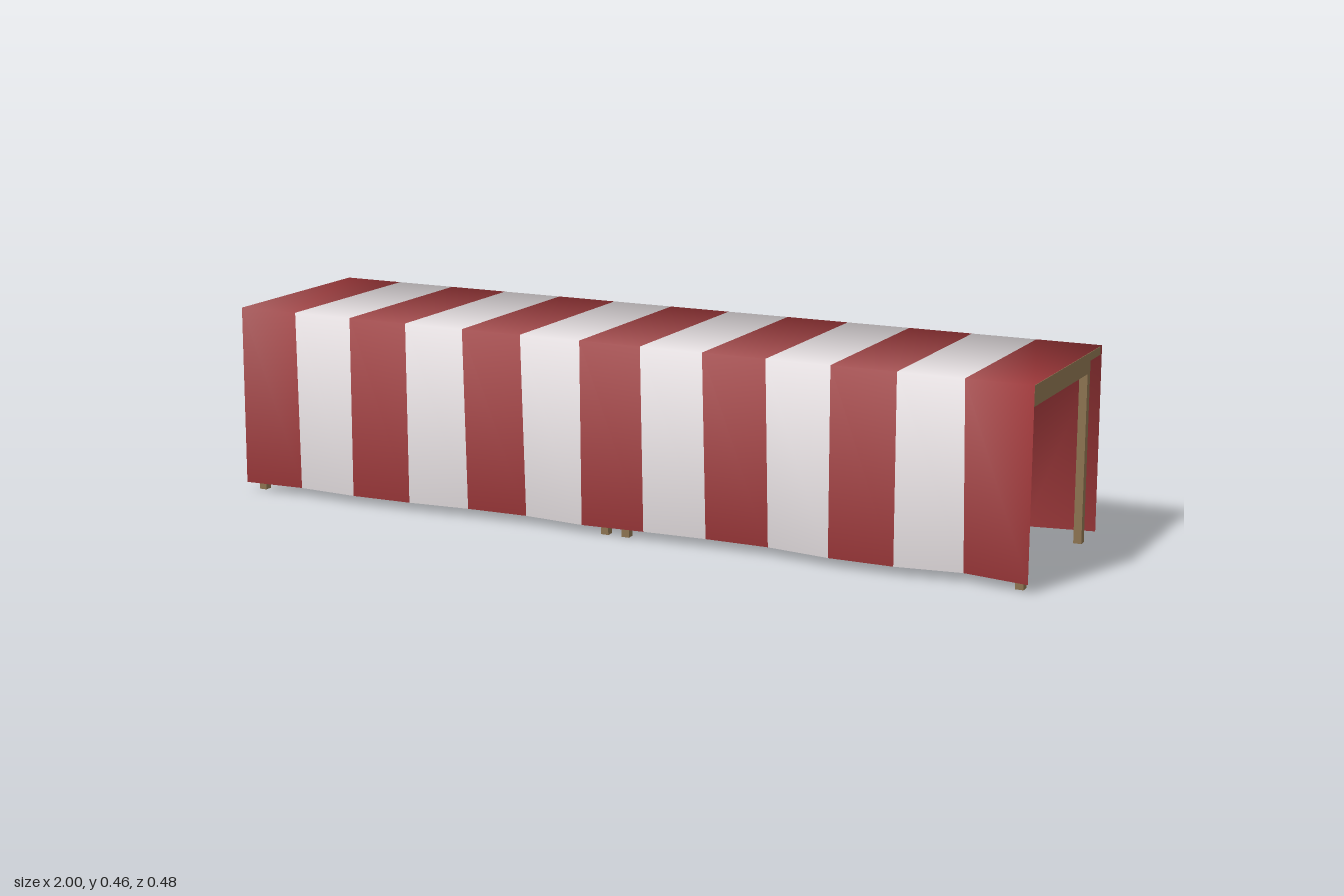
import * as THREE from 'three';

const mat = (name, color, side = THREE.FrontSide) => {
  const m = new THREE.MeshStandardMaterial({ color, side });
  m.name = name;
  return m;
};

export function createModel() {
  const model = new THREE.Group();
  model.name = 'tablesWithCloth';
  const wood = mat('wood', 0x8c7350);
  const red = mat('clothRed', 0x963436, THREE.DoubleSide);
  const white = mat('clothWhite', 0xdcd6d8, THREE.DoubleSide);

  const box = (parent, name, w, h, d, x, y, z) => {
    const mesh = new THREE.Mesh(new THREE.BoxGeometry(w, h, d), wood);
    mesh.name = name;
    mesh.position.set(x, y, z);
    parent.add(mesh);
  };

  // two wooden tables, end to end
  const T = 0.019, legX = 0.473, legZ = 0.204;
  for (const cx of [-0.4995, 0.4995]) {
    const table = new THREE.Group();
    table.name = cx < 0 ? 'rightTable' : 'leftTable';
    table.position.x = cx;
    box(table, 'tableTop', 0.998, 0.019, 0.464, 0, 0.4435, 0);
    for (const s of [-1, 1]) {
      for (const t of [-1, 1]) box(table, 'leg', T, 0.434, T, s * legX, 0.217, t * legZ);
      box(table, 'endApron', T, 0.039, 2 * legZ - T, s * legX, 0.4145, 0);
      box(table, 'sideApron', 2 * legX - T, 0.039, T, 0, 0.4145, s * legZ);
    }
    model.add(table);
  }

  // striped cloth: a strip of cross-sections with a wavy hem on both sides
  const stripes = 13;
  const frontHem = [0.24, 0.231, 0.24, 0.235, 0.222, 0.217, 0.231, 0.221, 0.214, 0.214, 0.235, 0.235, 0.214, 0.24];
  const backHem = [0.24, 0.214, 0.226, 0.226, 0.235, 0.24, 0.226, 0.238, 0.24, 0.23, 0.24, 0.237, 0.214, 0.24];
  const pos = [], idx = [];
  const geo = new THREE.BufferGeometry();
  for (let i = 0; i <= stripes; i++) {
    const x = -1 + (2 * i) / stripes;
    pos.push(x, 0.021, -backHem[i], x, 0.455, -0.237, x, 0.455, 0.237, x, 0.021, frontHem[i]);
    if (i === stripes) break;
    for (let r = 0; r < 3; r++) {
      const a = i * 4 + r;
      idx.push(a, a + 1, a + 5, a, a + 5, a + 4);
    }
    geo.addGroup(i * 18, 18, i % 2);
  }
  geo.setAttribute('position', new THREE.Float32BufferAttribute(pos, 3));
  geo.setIndex(idx);
  geo.computeVertexNormals();
  const cloth = new THREE.Mesh(geo, [red, white]);
  cloth.name = 'stripedCloth';
  model.add(cloth);
  return model;
}
